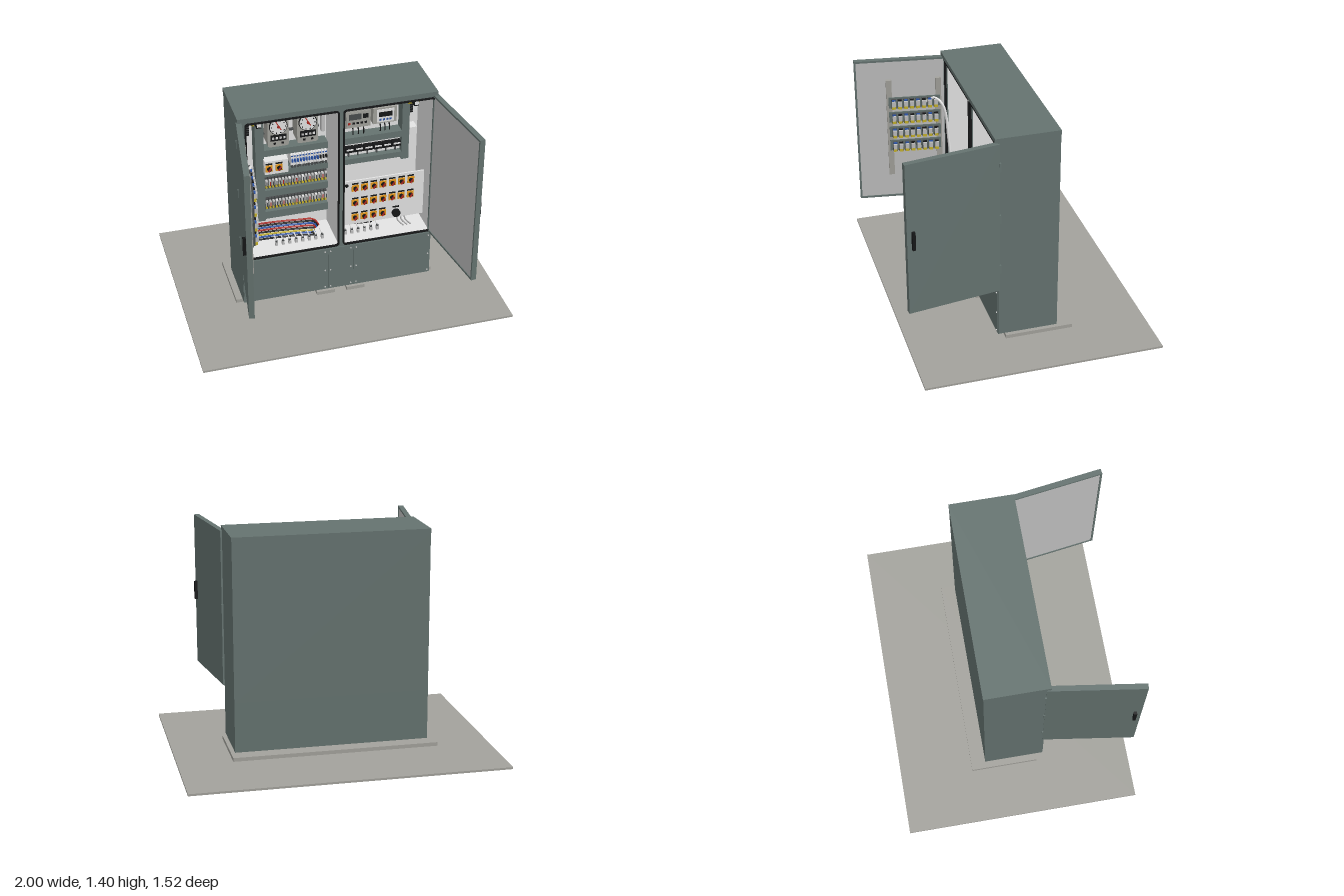
import * as THREE from 'three';

const mat = (name, color) => {
  const m = new THREE.MeshStandardMaterial({ color });
  m.name = name;
  return m;
};

export function createModel() {
  const root = new THREE.Group();
  root.name = 'controlCabinet';
  const green = mat('cabinetGreen', 0x657370), stone = mat('concreteGrey', 0xa3a29c);
  const white = mat('panelWhite', 0xe4e4e4), grey = mat('lightGrey', 0xc0c0c0);
  const dark = mat('darkGrey', 0x4a4d4e), black = mat('black', 0x161718);
  const orange = mat('orange', 0xf0a020), red = mat('red', 0xb02820);
  const blue = mat('blue', 0x2c55a8), yellow = mat('yellow', 0xc8b42c);

  const add = (name, geo, m, parent = root) => {
    const mesh = new THREE.Mesh(geo, m);
    mesh.name = name;
    parent.add(mesh);
    return mesh;
  };
  // box given by its limits on each axis
  const box = (name, m, x0, x1, y0, y1, z0, z1, parent) => {
    const b = add(name, new THREE.BoxGeometry(x1 - x0, y1 - y0, z1 - z0), m, parent);
    b.position.set((x0 + x1) / 2, (y0 + y1) / 2, (z0 + z1) / 2);
    return b;
  };
  // disc facing the front
  const disc = (name, m, x, y, z, r, d, sides = 20) => {
    const c = add(name, new THREE.CylinderGeometry(r, r, d, sides), m);
    c.rotation.x = Math.PI / 2;
    c.position.set(x, y, z);
    return c;
  };
  const tube = (name, m, pts, r, segs = 18) => add(name, new THREE.TubeGeometry(
    new THREE.CatmullRomCurve3(pts.map(p => new THREE.Vector3(...p))), segs, r, 6), m);
  const roundRect = (T, x0, x1, y0, y1, r) => {
    const s = new T();
    s.absarc(x1 - r, y1 - r, r, 0, Math.PI / 2);
    s.absarc(x0 + r, y1 - r, r, Math.PI / 2, Math.PI);
    s.absarc(x0 + r, y0 + r, r, Math.PI, Math.PI * 1.5);
    s.absarc(x1 - r, y0 + r, r, Math.PI * 1.5, Math.PI * 2);
    s.closePath();
    return s;
  };
  const extrude = (s, depth) => new THREE.ExtrudeGeometry(s, { depth, bevelEnabled: false, curveSegments: 5 });

  // ground slab, plinth and front feet
  box('groundSlab', stone, -1, 1, 0, 0.013, -0.763, 0.737);
  box('plinth', stone, -0.66, 0.655, 0.013, 0.037, -0.293, 0.137);
  for (const [a, b] of [[-0.14, -0.02], [0.06, 0.18]]) box('foot', stone, a, b, 0.013, 0.037, 0.13, 0.2);

  // cabinet shell
  const L = -0.618, R = 0.628, F = 0.18;
  box('base', green, L, R, 0.037, 0.36, -0.2, F);
  box('back', green, L, R, 0.36, 1.38, -0.2, -0.185);
  box('leftSkin', green, L, L + 0.012, 0.36, 1.38, -0.185, F - 0.012);
  box('rightSkin', green, R - 0.008, R, 0.36, 1.38, -0.185, F - 0.012);
  box('roof', green, L - 0.003, R + 0.002, 1.378, 1.405, -0.202, 0.2);
  const frame = new THREE.Shape([[L, 0.36], [R, 0.36], [R, 1.38], [L, 1.38]].map(p => new THREE.Vector2(...p)));
  for (const [a, b] of [[-0.572, 0.01], [0.037, 0.62]]) {
    frame.holes.push(roundRect(THREE.Path, a, b, 0.37, 1.357, 0.02));
    const seal = roundRect(THREE.Shape, a - 0.002, b + 0.002, 0.368, 1.359, 0.022);
    seal.holes.push(roundRect(THREE.Path, a + 0.007, b - 0.007, 0.377, 1.35, 0.015));
    add('doorSeal', extrude(seal, 0.014), black).position.z = F - 0.003;
  }
  add('frontFrame', extrude(frame, 0.012), green).position.z = F - 0.012;

  // white interior lining and mounting plate
  const B = -0.12;
  box('mountingPlate', white, L + 0.012, R - 0.008, 0.36, 1.37, B - 0.01, B);
  box('leftLining', white, L + 0.012, L + 0.018, 0.36, 1.37, B, 0.167);
  box('rightLining', white, R - 0.013, R - 0.008, 0.36, 1.37, B, 0.167);
  box('partition', white, 0.012, 0.034, 0.36, 1.37, B, 0.167);
  box('floorLining', white, L + 0.012, R - 0.008, 0.36, 0.367, B, 0.167);
  box('ceilingLining', white, L + 0.012, R - 0.008, 1.37, 1.378, B, 0.167);
  for (const x of [-0.17, 0.06]) box('ceilingLamp', white, x, x + 0.16, 1.335, 1.365, 0.05, 0.1);

  // lower front covers with screws
  for (const [a, b] of [[L + 0.002, -0.067], [-0.061, 0.104], [0.11, R - 0.002]]) {
    box('lowerCover', green, a, b, 0.045, 0.355, F, F + 0.005);
    for (const x of [a + 0.015, b - 0.015]) for (const y of [0.06, 0.19, 0.335])
      disc('coverScrew', grey, x, y, F + 0.007, 0.005, 0.006, 8);
  }

  // doors: local z runs from hinge to free edge, s points inward
  for (const s of [1, -1]) {
    const door = new THREE.Group();
    door.name = s > 0 ? 'rightDoor' : 'leftDoor';
    door.position.set(s > 0 ? -0.607 : 0.622, 0, 0.175);
    door.rotation.y = -s * 0.145;
    root.add(door);
    const part = (n, m, x0, x1, ...r) => box(n, m, Math.min(s * x0, s * x1), Math.max(s * x0, s * x1), ...r, door);
    part('doorSkin', green, -0.017, 0.008, 0.367, 1.373, 0, 0.587);
    part('doorLining', grey, 0.008, 0.012, 0.38, 1.36, 0.012, 0.575);
    for (const [y0, y1] of [[0.367, 0.38], [1.36, 1.373]]) part('doorRim', green, 0.008, 0.017, y0, y1, 0, 0.587);
    for (const [z0, z1] of [[0, 0.012], [0.575, 0.587]]) part('doorRim', green, 0.008, 0.017, 0.38, 1.36, z0, z1);
    part('handle', black, -0.036, -0.017, 0.81, 0.93, 0.54, 0.559);
    for (const y of [0.52, 0.87, 1.22]) part('hinge', green, -0.021, -0.008, y - 0.028, y + 0.028, -0.008, 0.004);
    if (s < 0) continue;
    // relay rack inside the door
    for (const z of [0.05, 0.37]) part('rackRail', stone, 0.012, 0.034, 0.545, 1.235, z - 0.018, z + 0.018);
    for (const y of [1.075, 0.97, 0.865, 0.765]) {
      part('rackBar', green, 0.034, 0.04, y - 0.035, y + 0.04, 0.04, 0.375);
      for (let i = 0; i < 8; i++) {
        const z = 0.055 + i * 0.039;
        part('relaySocket', dark, 0.04, 0.052, y - 0.036, y + 0.03, z, z + 0.03);
        part('relay', grey, 0.052, 0.074, y - 0.012, y + 0.022, z + 0.003, z + 0.027);
        part('relayTag', yellow, 0.052, 0.066, y - 0.034, y - 0.014, z + 0.003, z + 0.027);
        part('relayCoil', i % 2 ? blue : black, 0.052, 0.062, y + 0.022, y + 0.03, z + 0.003, z + 0.027);
      }
    }
  }
  tube('doorHose', white, [[-0.59, 1.07, 0.32], [-0.565, 1.105, 0.26],
    [-0.54, 1.05, 0.21], [-0.525, 0.8, 0.18], [-0.512, 0.64, 0.17]], 0.009, 24);

  // wiring ducts
  const duct = (...r) => box('wiringDuct', green, ...r, B, -0.04);
  duct(-0.465, -0.41, 0.49, 1.33);
  duct(0.487, 0.535, 0.8, 1.33);
  for (const [y0, y1] of [[0.967, 1.012], [0.818, 0.857], [0.668, 0.716], [0.503, 0.556]]) duct(-0.41, 0, y0, y1);
  for (const [y0, y1] of [[0.967, 1.012], [0.818, 0.857]]) duct(0.052, 0.487, y0, y1);

  // round-dial recorders
  for (const x of [-0.324, -0.137]) {
    add('recorderCase', extrude(roundRect(THREE.Shape, x - 0.067, x + 0.067, 1.05, 1.257, 0.015), 0.11), stone).position.z = B;
    disc('dialRim', black, x, 1.195, -0.007, 0.058, 0.006, 28);
    disc('dial', white, x, 1.195, -0.003, 0.053, 0.006, 28);
    for (let i = 0; i < 10; i++) {
      const a = i * Math.PI / 5;
      disc('dialMark', black, x + 0.044 * Math.cos(a), 1.195 + 0.044 * Math.sin(a), 0.001, 0.004, 0.004, 6);
    }
    box('needle', red, x - 0.003, x + 0.003, 1.17, 1.235, 0, 0.004).rotation.z = 0.5;
    disc('needleHub', red, x, 1.195, 0.002, 0.009, 0.006, 12);
    box('recorderKeys', black, x - 0.05, x + 0.05, 1.095, 1.135, -0.01, -0.003);
    for (let i = 0; i < 4; i++) box('recorderKey', i % 2 ? white : grey, x - 0.042 + i * 0.024, x - 0.028 + i * 0.024, 1.108, 1.122, -0.003, 0);
    for (const d of [-0.03, 0.02]) box('recorderButton', black, x + d, x + d + 0.014, 1.068, 1.08, -0.01, -0.005);
    for (const d of [-0.03, 0, 0.03]) box('recorderLead', black, x + d - 0.004, x + d + 0.004, 1.012, 1.05, -0.09, -0.08);
    for (const y of [1.1, 1.19]) for (const d of [-0.082, 0.082]) box('clip', dark, x + d - 0.015, x + d + 0.015, y - 0.005, y + 0.005, B, -0.1);
    box('plateTag', black, x - 0.01, x + 0.01, 1.268, 1.276, B, -0.115);
  }

  // rotary switch: yellow plate, black knob, red grip and label
  const rotary = (x, y, z) => {
    box('switchPlate', orange, x - 0.022, x + 0.022, y - 0.022, y + 0.022, z, z + 0.006);
    disc('switchKnob', black, x, y, z + 0.012, 0.014, 0.014, 14);
    box('switchGrip', red, x - 0.005, x + 0.005, y - 0.014, y + 0.014, z + 0.018, z + 0.026).rotation.z = -0.6;
    box('switchLabel', black, x - 0.021, x + 0.021, y + 0.027, y + 0.036, z, z + 0.004);
  };
  box('switchBox', white, -0.417, -0.267, 0.86, 0.955, B, 0);
  for (const x of [-0.39, -0.326]) rotary(x, 0.905, 0);

  // circuit breakers and contactor rows
  for (let i = 0; i < 13; i++) {
    const x = -0.24 + i * 0.0183;
    box('breaker', white, x, x + 0.016, 0.872, 0.95, B, -0.04);
    box('breakerLever', i > 9 ? black : blue, x + 0.003, x + 0.013, 0.905, 0.925, -0.04, -0.025);
    box('breakerMark', blue, x + 0.003, x + 0.013, 0.94, 0.947, -0.04, -0.036);
    box('breakerFoot', dark, x + 0.002, x + 0.014, 0.86, 0.878, B, -0.036);
  }
  for (const y of [0.767, 0.612]) {
    box('mountingRail', grey, -0.41, 0, y - 0.048, y + 0.048, B, -0.1);
    for (let i = 0; i < 19; i++) {
      const x = -0.408 + i * 0.0214;
      box('contactor', dark, x, x + 0.018, y - 0.042, y + 0.038, B, -0.05);
      box('contactorFace', i % 4 === 3 ? white : grey, x + 0.002, x + 0.016, y - 0.01, y + 0.026, -0.05, -0.03);
      box('contactorStripe', i % 4 === 1 ? red : dark, x + 0.006, x + 0.012, y - 0.01, y + 0.018, -0.03, -0.027);
      box('contactorTag', yellow, x + 0.003, x + 0.015, y - 0.036, y - 0.018, -0.05, -0.042);
    }
  }

  // controllers in the other bay
  box('controller', stone, 0.113, 0.278, 1.085, 1.21, B, -0.04);
  box('controllerFace', stone, 0.122, 0.269, 1.095, 1.2, -0.04, -0.036);
  box('controllerScreen', dark, 0.135, 0.215, 1.145, 1.185, -0.036, -0.032);
  box('controllerSlot', black, 0.225, 0.262, 1.15, 1.18, -0.036, -0.032);
  for (let i = 0; i < 5; i++) box('controllerKey', i ? black : red, 0.13 + i * 0.027, 0.145 + i * 0.027, 1.113, 1.126, -0.036, -0.032);
  box('meter', stone, 0.294, 0.449, 1.09, 1.2, B, -0.04);
  box('meterFace', white, 0.318, 0.43, 1.1, 1.19, -0.04, -0.036);
  box('meterScreen', black, 0.33, 0.418, 1.14, 1.172, -0.036, -0.032);
  for (let i = 0; i < 4; i++) box('meterKey', blue, 0.335 + i * 0.022, 0.347 + i * 0.022, 1.113, 1.125, -0.036, -0.032);
  for (const x of [0.165, 0.2, 0.235, 0.345, 0.375, 0.405])
    tube('controllerLead', black, [[x, 1.09, -0.08], [x + 0.008, 1.05, -0.07], [x + 0.01, 1.0, -0.08]], 0.004, 6);
  for (const x of [0.2, 0.38]) box('plateTag', black, x - 0.008, x + 0.008, 1.268, 1.276, B, -0.115);
  box('terminalRail', white, 0.053, 0.487, 0.86, 0.945, B, -0.08);
  for (let i = 0; i < 7; i++) {
    const x = 0.055 + i * 0.062;
    box('terminalBlock', black, x, x + 0.057, 0.903, 0.934, -0.08, -0.04);
    box('terminalStrip', white, x + 0.006, x + 0.051, 0.92, 0.93, -0.04, -0.036);
    box('terminalLead', dark, x + 0.025, x + 0.033, 0.857, 0.903, -0.08, -0.07);
  }
  box('terminalWire', black, 0.055, 0.485, 0.885, 0.891, -0.08, -0.072);

  // switch panel close to the front
  box('switchPanel', white, 0.05, 0.583, 0.481, 0.807, 0.125, 0.135);
  [[0.754, 7], [0.645, 7], [0.535, 4]].forEach(([y, n]) => {
    for (let i = 0; i < n; i++) rotary(0.128 + i * 0.061, y, 0.135);
  });
  disc('socket', black, 0.4, 0.522, 0.145, 0.027, 0.02);
  box('socketLabel', black, 0.38, 0.42, 0.56, 0.57, 0.135, 0.139);
  disc('panelLock', black, 0.072, 0.78, 0.138, 0.011, 0.008, 12);

  // vents, side boxes and lamps
  for (const [a, b] of [[-0.52, -0.488], [0.545, 0.575]]) {
    box('vent', dark, a, b, 1.1, 1.215, B, -0.1);
    for (let i = 0; i < 7; i++) box('ventSlat', black, a, b, 1.105 + i * 0.016, 1.113 + i * 0.016, -0.1, -0.094);
  }
  box('junctionBox', white, 0.54, 0.59, 0.967, 1.02, B, -0.05);
  for (const x of [-0.015, 0.058]) box('documentHolder', grey, x - 0.012, x + 0.012, 1.06, 1.235, B, -0.09);
  for (const x of [-0.48, 0.51]) {
    box('doorSwitch', black, x - 0.015, x + 0.015, 1.295, 1.345, 0.1, 0.15);
    box('doorSwitchFace', white, x - 0.012, x + 0.012, 1.305, 1.325, 0.15, 0.155);
    tube('doorSwitchWire', yellow, [[x, 1.3, 0.12], [x + Math.sign(x) * 0.02 + 0.02, 1.31, 0.1], [x + 0.03 * Math.sign(x) + 0.01, 1.27, 0.06], [x, 1.23, 0]], 0.006, 12);
  }

  // cable bundles, glands and hoses
  const wires = [red, black, blue, red, black, yellow, blue, black];
  wires.forEach((m, i) => {
    const y = 0.49 - i * 0.011, z = -0.03 + i * 0.009;
    tube('cable', m, [[-0.48, y - 0.01, z], [-0.35, y, z + 0.02], [-0.2, y - 0.012, z + 0.02], [-0.1, y - 0.04, z], [-0.065 - i * 0.01, 0.4, z]], 0.0065);
    if (i < 5) tube('cable', i % 2 ? yellow : black, [[0.05, 0.465 - i * 0.012, z], [0.14, 0.457 - i * 0.012, z + 0.02],
      [0.24, 0.425 - i * 0.006, z + 0.02], [0.34 - i * 0.015, 0.385, z]], 0.0065);
  });
  const gland = x => {
    box('gland', grey, x - 0.008, x + 0.008, 0.367, 0.392, 0.06, 0.08);
    box('glandCap', dark, x - 0.006, x + 0.006, 0.392, 0.402, 0.063, 0.077);
    tube('glandWire', white, [[x, 0.4, 0.07], [x - 0.005, 0.415, 0.06], [x - 0.01, 0.425, 0.045]], 0.004, 5);
  };
  for (let i = 0; i < 8; i++) gland(-0.37 + i * 0.043);
  for (let i = 0; i < 6; i++) gland(0.085 + i * 0.043);
  for (const x of [0.42, 0.445, 0.47])
    tube('panelHose', grey, [[x, 0.5, 0.1], [x + 0.005, 0.44, 0.1], [x + 0.03, 0.4, 0.09], [x + 0.055, 0.37, 0.08]], 0.005, 10);

  return root;
}
